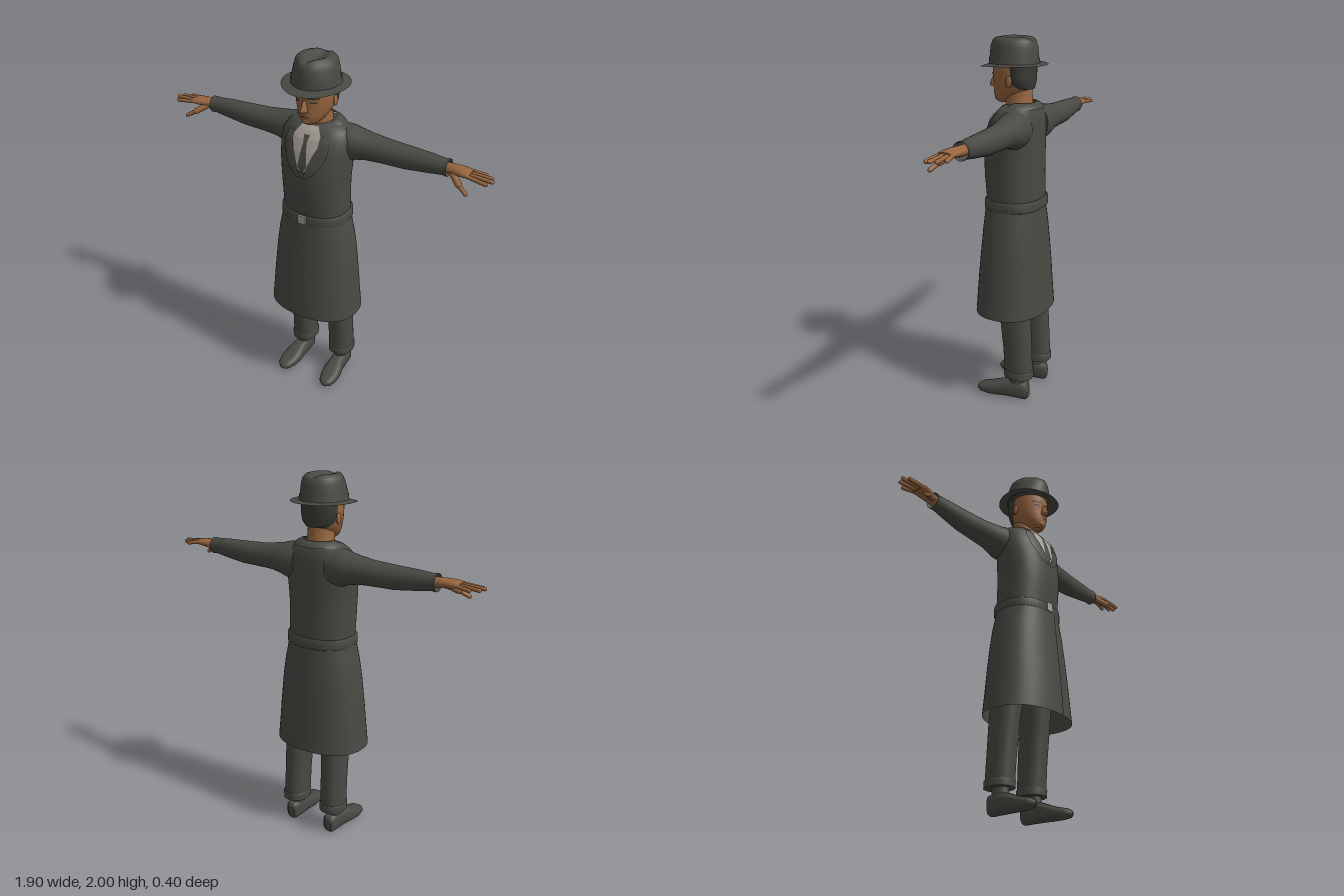
import * as THREE from 'three';
import { ParametricGeometry } from 'three/addons/geometries/ParametricGeometry.js';

const flat = (name, color, side = THREE.FrontSide) => {
  const m = new THREE.MeshStandardMaterial({ color, side });
  m.name = name;
  return m;
};

// A section is [t, a, b, ra, rb]: position along the axis, centre and radii across it.
const PLACE = {
  y: (t, a, b) => [a, t, b],
  x: (t, a, b) => [t, a, b],
  z: (t, a, b) => [a, b, t],
};

// Skin a row of superellipse sections, with optional flat ends
function loft(sections, { axis = 'y', n = 2, seg = 32, start = true, end = true } = {}) {
  const pos = [], index = [], dir = axis === 'y' ? 1 : -1;
  const pw = (v) => Math.sign(v) * Math.abs(v) ** (2 / n);
  const ring = ([t, a, b, ra, rb]) => {
    for (let i = 0; i < seg; i++) {
      const th = (i / seg) * Math.PI * 2;
      pos.push(...PLACE[axis](t, a + ra * pw(Math.cos(th)), b + dir * rb * pw(Math.sin(th))));
    }
  };
  sections.forEach(ring);
  for (let k = 0; k < sections.length - 1; k++) {
    for (let i = 0; i < seg; i++) {
      const p = k * seg + i, q = k * seg + ((i + 1) % seg);
      index.push(p, p + seg, q, q, p + seg, q + seg);
    }
  }
  const cap = (s, first) => {
    const base = pos.length / 3;
    ring(s);
    pos.push(...PLACE[axis](s[0], s[1], s[2]));
    for (let i = 0; i < seg; i++) {
      const p = base + i, q = base + ((i + 1) % seg);
      index.push(base + seg, first ? p : q, first ? q : p);
    }
  };
  if (start) cap(sections[0], true);
  if (end) cap(sections[sections.length - 1], false);
  const g = new THREE.BufferGeometry();
  g.setAttribute('position', new THREE.Float32BufferAttribute(pos, 3));
  g.setIndex(index);
  g.computeVertexNormals();
  return g;
}

// Interpolate a table whose first column rises
function sample(table, t) {
  let k = 0;
  while (k < table.length - 2 && t > table[k + 1][0]) k++;
  const f = THREE.MathUtils.clamp((t - table[k][0]) / (table[k + 1][0] - table[k][0]), 0, 1);
  return table[k].map((v, i) => v + (table[k + 1][i] - v) * f);
}

// Thin facing that hugs the front of a lofted body; rows are [y, xMin, xMax], y rising
function facing(body, rows, off = 0.004, n = 2) {
  const y0 = rows[0][0], y1 = rows[rows.length - 1][0];
  return new ParametricGeometry((u, v, out) => {
    const y = y0 + (y1 - y0) * v;
    const [, xa, xb] = sample(rows, y);
    const [, cx, cz, rx, rz] = sample(body, y);
    const x = xa + (xb - xa) * u;
    const k = Math.min(1, Math.abs((x - cx) / rx));
    out.set(x, y, cz + off + rz * (1 - k ** n) ** (1 / n));
  }, 10, 24);
}

// Rounded rod between two points
function rod(a, b, r) {
  const p = new THREE.Vector3(...a), d = new THREE.Vector3(...b).sub(p);
  const g = new THREE.CapsuleGeometry(r, d.length(), 4, 10);
  g.applyQuaternion(new THREE.Quaternion().setFromUnitVectors(new THREE.Vector3(0, 1, 0), d.clone().normalize()));
  return g.translate(p.x + d.x / 2, p.y + d.y / 2, p.z + d.z / 2);
}

function mirrored(geo) {
  const g = geo.clone().scale(-1, 1, 1), ix = g.index.array;
  for (let i = 0; i < ix.length; i += 3) [ix[i], ix[i + 1]] = [ix[i + 1], ix[i]];
  return g;
}

export function createModel() {
  const root = new THREE.Group();
  root.name = 'manInLongCoat';
  const cloth = flat('charcoal cloth', 0x484943, THREE.DoubleSide);
  const shirt = flat('pale shirt', 0xa8a198, THREE.DoubleSide);
  const skin = flat('skin', 0x96653f);
  const hair = flat('dark hair', 0x3a3a36);
  const lips = flat('lips', 0x7a4a34);
  const metal = flat('buckle metal', 0xa3a39c);
  const add = (name, geo, mat) => {
    const m = new THREE.Mesh(geo, mat);
    m.name = name;
    root.add(m);
  };
  const pair = (name, geo, mat) => {
    add('left' + name, geo, mat);
    add('right' + name, mirrored(geo), mat);
  };

  // Coat body
  const torso = [
    [1.13, 0, -0.003, 0.18, 0.146], [1.2, 0, 0, 0.184, 0.147], [1.28, 0, 0.005, 0.184, 0.15],
    [1.36, 0, 0.006, 0.188, 0.15], [1.45, 0, 0.002, 0.196, 0.146], [1.52, 0, -0.006, 0.2, 0.137],
    [1.58, 0, -0.015, 0.195, 0.124], [1.62, 0, -0.024, 0.172, 0.107], [1.645, 0, -0.03, 0.135, 0.09],
    [1.655, 0, -0.032, 0.08, 0.072],
  ];
  add('coatBody', loft(torso, { n: 2.3, seg: 48 }), cloth);
  const skirt = [
    [0.51, 0, 0.002, 0.264, 0.197], [0.62, 0, 0.002, 0.253, 0.19], [0.75, 0, 0.001, 0.242, 0.181],
    [0.9, 0, 0, 0.227, 0.168], [1.0, 0, 0, 0.212, 0.16], [1.06, 0, 0, 0.198, 0.154], [1.12, 0, 0, 0.186, 0.15],
  ];
  add('coatSkirt', loft(skirt, { n: 2.3, seg: 48, start: false }), cloth);
  add('coatOverlap', facing(skirt, [[0.512, 0.03, 0.052], [1.1, 0.03, 0.048]], 0.004, 2.3), cloth);
  add('belt', loft([
    [1.098, 0, -0.003, 0.184, 0.15], [1.104, 0, -0.003, 0.193, 0.157],
    [1.148, 0, -0.003, 0.192, 0.156], [1.154, 0, -0.003, 0.182, 0.148],
  ], { n: 2.4, seg: 48 }), cloth);
  add('buckle', new THREE.BoxGeometry(0.045, 0.048, 0.012).translate(0, 1.128, 0.156), metal);

  // Shirt front, tie, lapels and collars
  add('shirtFront', facing(torso, [[1.42, -0.02, 0.02], [1.45, -0.038, 0.038], [1.59, -0.085, 0.085], [1.645, -0.045, 0.045]], 0.003, 2.3), shirt);
  add('tie', facing(torso, [[1.41, -0.002, 0.002], [1.445, -0.026, 0.026], [1.57, -0.01, 0.01], [1.605, -0.017, 0.017]], 0.006, 2.3), cloth);
  pair('Lapel', facing(torso, [[1.385, 0.005, 0.03], [1.42, 0.018, 0.075], [1.5, 0.048, 0.122], [1.56, 0.075, 0.13], [1.61, 0.075, 0.115]], 0.008, 2.3), cloth);
  add('shirtCollar', loft([[1.6, 0, -0.02, 0.085, 0.09], [1.64, 0, -0.02, 0.076, 0.08]], { start: false, end: false }), shirt);
  add('coatCollar', new ParametricGeometry((u, v, out) => {
    const th = Math.PI / 2 + 0.55 + u * (Math.PI * 2 - 1.1);
    const front = Math.max(0, Math.sin(th));
    const rx = 0.088 + 0.056 * v, rz = 0.08 + 0.036 * v;
    out.set(Math.cos(th) * rx, 1.668 - 0.03 * v * v - 0.035 * front, -0.028 + Math.sin(th) * rz);
  }, 40, 5), cloth);

  // Sleeves
  pair('Sleeve', loft([
    [0.1, 1.54, -0.055, 0.1, 0.085], [0.17, 1.54, -0.056, 0.098, 0.09], [0.21, 1.542, -0.058, 0.084, 0.086],
    [0.27, 1.543, -0.06, 0.073, 0.075], [0.35, 1.54, -0.062, 0.066, 0.067], [0.48, 1.538, -0.062, 0.062, 0.058],
    [0.6, 1.543, -0.06, 0.053, 0.046], [0.69, 1.546, -0.057, 0.043, 0.038], [0.694, 1.546, -0.057, 0.046, 0.042],
    [0.71, 1.546, -0.057, 0.046, 0.042],
  ], { axis: 'x', end: false }), cloth);

  // Hands
  pair('Palm', loft([
    [0.66, 1.546, -0.056, 0.026, 0.028], [0.72, 1.548, -0.054, 0.026, 0.032], [0.76, 1.551, -0.05, 0.024, 0.04],
    [0.8, 1.552, -0.046, 0.02, 0.045], [0.83, 1.551, -0.045, 0.014, 0.043],
  ], { axis: 'x', seg: 20 }), skin);
  [[-0.078, 0.885, -0.09, 1.543], [-0.057, 0.925, -0.064, 1.544], [-0.035, 0.938, -0.033, 1.546], [-0.013, 0.918, -0.004, 1.54]]
    .forEach(([z0, x1, z1, y1], i) =>
      pair('Finger' + (i + 1), rod([0.815, 1.551, z0], [x1, y1, z1], 0.0105), skin));
  pair('ThumbBase', rod([0.735, 1.54, -0.035], [0.79, 1.506, 0.008], 0.017), skin);
  pair('ThumbTip', rod([0.79, 1.506, 0.008], [0.836, 1.48, 0.028], 0.011), skin);

  // Trousers and shoes
  pair('TrouserLeg', loft([
    [0.15, 0.126, -0.076, 0.067, 0.078], [0.3, 0.124, -0.068, 0.067, 0.08],
    [0.5, 0.122, -0.052, 0.069, 0.086], [0.85, 0.1, -0.02, 0.085, 0.1],
  ], { n: 2.3 }), cloth);
  pair('TrouserCuff', loft([
    [0.135, 0.127, -0.077, 0.071, 0.082], [0.172, 0.127, -0.076, 0.072, 0.083], [0.178, 0.126, -0.076, 0.066, 0.078],
  ], { n: 2.3 }), cloth);
  pair('Ankle', loft([[0.06, 0.13, -0.068, 0.042, 0.055], [0.1, 0.13, -0.068, 0.036, 0.048], [0.16, 0.128, -0.07, 0.038, 0.048]], { seg: 20 }), cloth);
  pair('Shoe', loft([
    [-0.136, 0.13, 0.045, 0.022, 0.036], [-0.125, 0.13, 0.053, 0.038, 0.053], [-0.06, 0.131, 0.054, 0.044, 0.054],
    [0, 0.134, 0.05, 0.046, 0.05], [0.05, 0.138, 0.04, 0.055, 0.04], [0.1, 0.142, 0.032, 0.053, 0.031],
    [0.145, 0.145, 0.028, 0.04, 0.024], [0.165, 0.146, 0.026, 0.02, 0.014], [0.172, 0.146, 0.026, 0.004, 0.004],
  ], { axis: 'z', n: 2.7, seg: 28 }), cloth);

  // Neck and head
  add('neck', loft([
    [1.6, 0, -0.025, 0.09, 0.085], [1.65, 0, -0.02, 0.074, 0.072], [1.7, 0, -0.012, 0.07, 0.075], [1.76, 0, -0.01, 0.07, 0.075],
  ]), skin);
  const head = [
    [1.66, 0, 0.075, 0.026, 0.024], [1.672, 0, 0.062, 0.046, 0.05], [1.69, 0, 0.046, 0.063, 0.073],
    [1.715, 0, 0.025, 0.08, 0.098], [1.75, 0, 0.011, 0.094, 0.109], [1.785, 0, 0.01, 0.1, 0.112],
    [1.83, 0, 0.01, 0.102, 0.115], [1.89, 0, 0.01, 0.1, 0.11],
  ];
  add('head', loft(head), skin);
  add('hair', loft([
    [1.735, 0, -0.038, 0.07, 0.06], [1.76, 0, -0.035, 0.094, 0.068], [1.8, 0, -0.032, 0.103, 0.074], [1.88, 0, -0.03, 0.106, 0.078],
  ]), hair);
  add('nose', loft([
    [1.735, 0, 0.118, 0.012, 0.012], [1.742, 0, 0.125, 0.02, 0.028], [1.755, 0, 0.122, 0.016, 0.031], [1.8, 0, 0.115, 0.009, 0.016],
  ], { seg: 12 }), skin);
  add('mouth', facing(head, [[1.707, -0.015, 0.015], [1.713, -0.03, 0.03], [1.72, -0.012, 0.012]], 0.004), lips);
  add('chin', new THREE.SphereGeometry(0.022, 16, 12).scale(1.1, 0.9, 0.8).translate(0, 1.685, 0.104), skin);
  pair('Ear', new THREE.SphereGeometry(0.03, 14, 10).scale(0.3, 1, 0.6).translate(0.103, 1.777, -0.005), skin);
  pair('Eye', facing(head, [[1.787, 0.032, 0.058], [1.791, 0.025, 0.066], [1.796, 0.034, 0.058]], 0.003), hair);
  pair('Eyebrow', facing(head, [[1.808, 0.018, 0.074], [1.818, 0.024, 0.07]], 0.004), hair);

  // Hat crown, pinched at the front and creased along the top
  const crown = loft([
    [1.86, 0, 0.01, 0.127, 0.132], [1.9, 0, 0.011, 0.121, 0.129], [1.95, 0, 0.012, 0.114, 0.126],
    [1.98, 0, 0.012, 0.105, 0.117], [1.995, 0, 0.012, 0.089, 0.103], [2.0, 0, 0.012, 0.07, 0.086],
    [1.995, 0, 0.012, 0.052, 0.07], [1.98, 0, 0.012, 0.032, 0.052], [1.974, 0, 0.012, 0.002, 0.005],
  ], { seg: 48 });
  const p = crown.attributes.position;
  for (let i = 0; i < p.count; i++) {
    const x = p.getX(i), y = p.getY(i), z = p.getZ(i);
    const top = THREE.MathUtils.smoothstep(y, 1.9, 1.99);
    p.setX(i, x * (1 - 0.2 * top * THREE.MathUtils.smoothstep(z, 0.02, 0.11)));
    if (y > 1.985) p.setY(i, y - 0.014 * Math.exp(-((x / 0.025) ** 2)));
  }
  crown.computeVertexNormals();
  add('hatCrown', crown, cloth);
  add('hatBand', loft([[1.866, 0, 0.01, 0.129, 0.134], [1.892, 0, 0.011, 0.125, 0.132]], { seg: 48, start: false, end: false }), cloth);

  // Hat brim, dipping at the front
  add('hatBrim', new ParametricGeometry((u, v, out) => {
    const th = -u * Math.PI * 2, r = 0.1 + 0.074 * v;
    const s = Math.sin(th);
    out.set(Math.cos(th) * r, 1.872 - 0.012 * v - 0.018 * v * Math.max(0, s) ** 2, 0.011 + s * (r + 0.004));
  }, 48, 5), cloth);

  return root;
}
